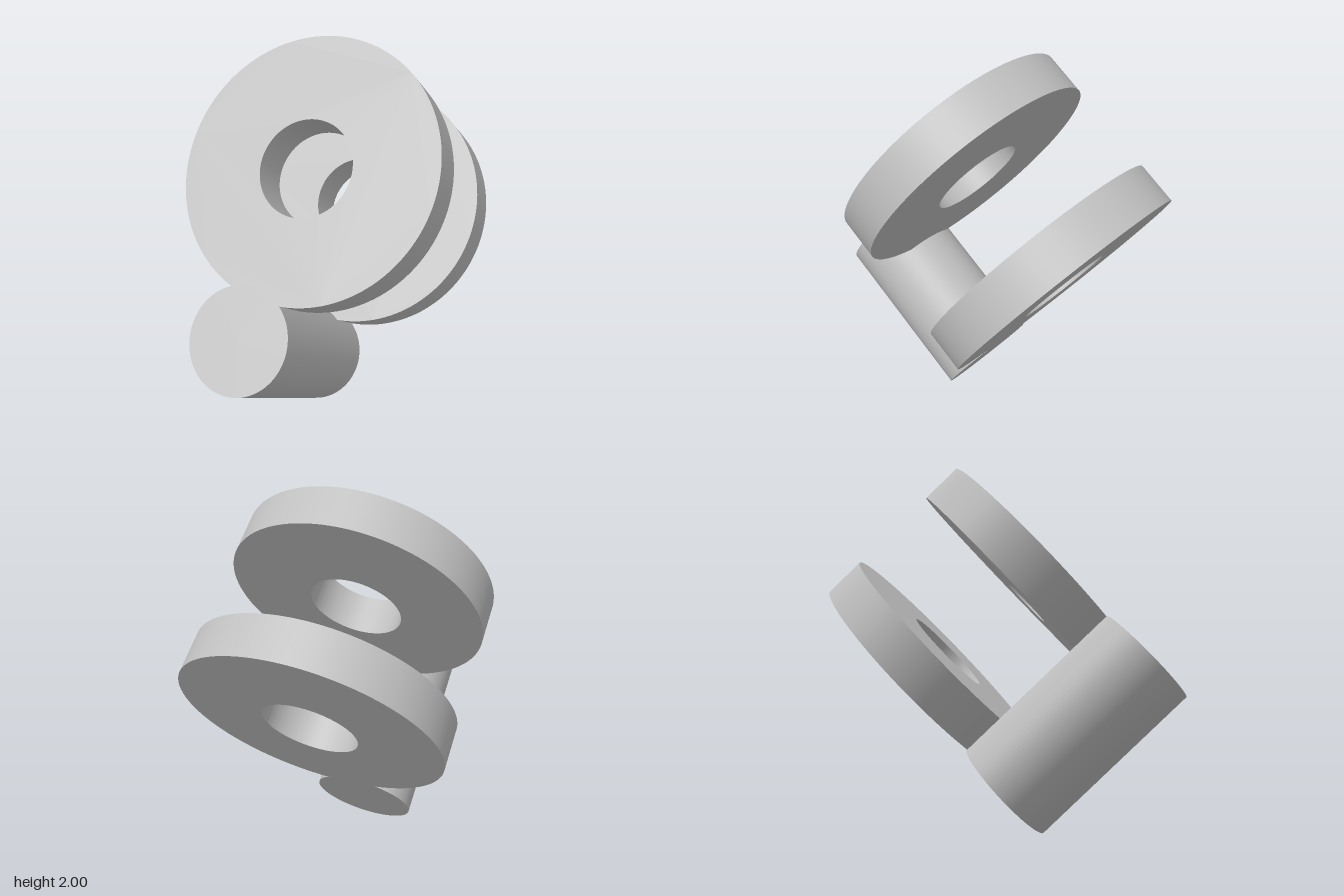
import * as THREE from 'three';
import { toCreasedNormals } from 'three/addons/utils/BufferGeometryUtils.js';

const DISC_RADIUS = 0.67, HOLE_RADIUS = 0.245, THICKNESS = 0.218;
const POST_RADIUS = 0.267, LENGTH = 0.926;

// Round plate with a round bore, extruded from z = -THICKNESS to 0
function ringGeometry() {
  const shape = new THREE.Shape().absarc(0, 0, DISC_RADIUS, 0, Math.PI * 2, false);
  shape.holes.push(new THREE.Path().absarc(0, 0, HOLE_RADIUS, 0, Math.PI * 2, true));
  const geo = new THREE.ExtrudeGeometry(shape, { depth: THICKNESS, bevelEnabled: false, curveSegments: 96 });
  geo.translate(0, 0, -THICKNESS);
  return toCreasedNormals(geo, 0.6);
}

export function createModel() {
  const model = new THREE.Group();
  model.name = 'twinRingBracket';
  const grey = new THREE.MeshStandardMaterial({ color: 0xbfbfbf });
  grey.name = 'plain grey';

  // Tilted frame: z along the post, y from the post towards the rings
  const postFront = new THREE.Vector3(-0.1, 0.78, 0.756);
  const ringFront = new THREE.Vector3(-0.015, 1.473, 0.218);
  const axis = new THREE.Vector3(-0.035, 0.615, 0.788).normalize();
  const up = ringFront.clone().sub(postFront);
  up.addScaledVector(axis, -up.dot(axis));
  const reach = up.length();
  up.normalize();
  const side = new THREE.Vector3().crossVectors(up, axis);
  const bracket = new THREE.Group();
  bracket.name = 'tiltedBracket';
  bracket.quaternion.setFromRotationMatrix(new THREE.Matrix4().makeBasis(side, up, axis));
  bracket.position.copy(postFront);
  model.add(bracket);

  // Solid post joining both rings
  const postGeo = new THREE.CylinderGeometry(POST_RADIUS, POST_RADIUS, LENGTH, 96);
  postGeo.rotateX(Math.PI / 2).translate(0, 0, -LENGTH / 2);
  const post = new THREE.Mesh(postGeo, grey);
  post.name = 'post';
  bracket.add(post);

  // Two rings, flush with the ends of the post
  const ringGeo = ringGeometry();
  [['frontRing', 0], ['backRing', THICKNESS - LENGTH]].forEach(([name, z]) => {
    const ring = new THREE.Mesh(ringGeo, grey);
    ring.name = name;
    ring.position.set(0, reach, z);
    bracket.add(ring);
  });

  return model;
}
